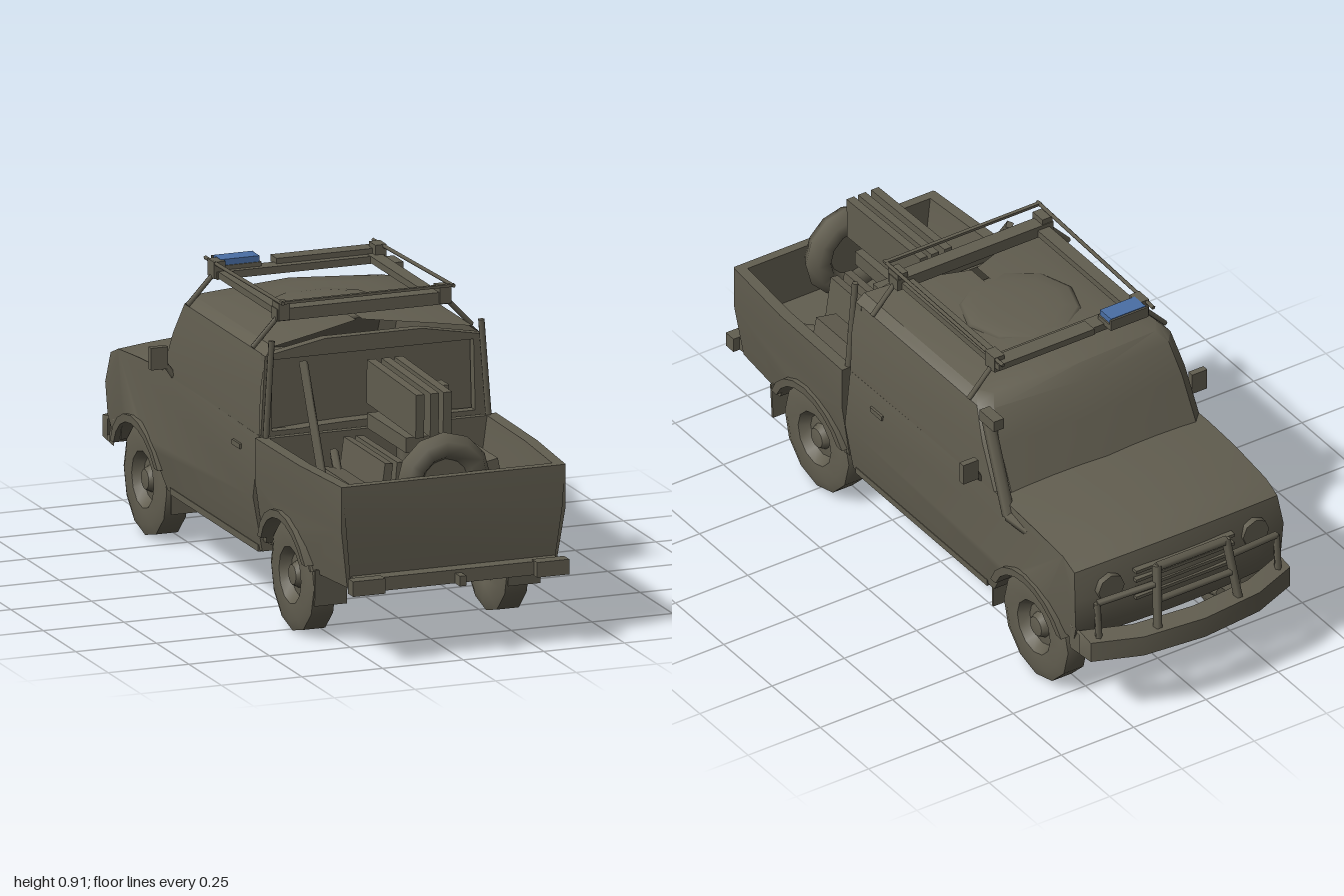
import * as THREE from 'three';
import { toCreasedNormals } from 'three/addons/utils/BufferGeometryUtils.js';

const paint = new THREE.MeshStandardMaterial({ color: 0x625e50, side: THREE.DoubleSide });
paint.name = 'drabPaint';
const blue = new THREE.MeshStandardMaterial({ color: 0x4a6fa5 });
blue.name = 'blueLamp';

export function createModel() {
  const truck = new THREE.Group();
  truck.name = 'pickupTruck';
  const add = (name, geo, mat = paint) => {
    const m = new THREE.Mesh(geo, mat);
    m.name = name;
    truck.add(m);
    return m;
  };
  const box = (name, w, h, d, x, y, z, mat) => {
    const m = add(name, new THREE.BoxGeometry(w, h, d), mat);
    m.position.set(x, y, z);
    return m;
  };
  // Straight rod between two points
  const bar = (name, a, b, r, sides = 5) => {
    const p = new THREE.Vector3(...a), q = new THREE.Vector3(...b);
    const m = add(name, new THREE.CylinderGeometry(r, r, p.distanceTo(q), sides));
    m.position.copy(p).add(q).multiplyScalar(0.5);
    m.quaternion.setFromUnitVectors(new THREE.Vector3(0, 1, 0), q.sub(p).normalize());
    return m;
  };
  // Side outline of [z, y] points, extruded across x, then bent by a rule
  const sideExtrude = (pts, x0, x1, steps, bend) => {
    const shape = new THREE.Shape(pts.map(([z, y]) => new THREE.Vector2(-z, y)));
    const g = new THREE.ExtrudeGeometry(shape, { depth: x1 - x0, steps, bevelEnabled: false });
    g.rotateY(Math.PI / 2).translate(x0, 0, 0);
    const p = g.attributes.position, v = new THREE.Vector3();
    for (let i = 0; i < p.count; i++) {
      bend(v.fromBufferAttribute(p, i));
      p.setXYZ(i, v.x, v.y, v.z);
    }
    return toCreasedNormals(g, 0.6);
  };
  // Skin over rows of equal point counts
  const loft = (rows) => {
    const n = rows[0].length, index = [];
    for (let i = 0; i < rows.length - 1; i++) for (let j = 0; j < n - 1; j++) {
      const a = i * n + j, b = a + n;
      index.push(a, a + 1, b, a + 1, b + 1, b);
    }
    const g = new THREE.BufferGeometry();
    g.setAttribute('position', new THREE.Float32BufferAttribute(rows.flat(2), 3));
    g.setIndex(index);
    return toCreasedNormals(g.toNonIndexed(), 0.6);
  };
  const arch = (zc, r, yBase) => {
    const a0 = Math.asin((yBase - 0.16) / r), pts = [];
    for (let i = 0; i <= 8; i++) {
      const a = Math.PI - a0 - (Math.PI - 2 * a0) * i / 8;
      pts.push([zc + r * Math.cos(a), 0.16 + r * Math.sin(a)]);
    }
    return pts;
  };

  // Lower cab, bonnet and front wings
  add('lowerBody', sideExtrude([
    [0.31, 0.185], [0.31, 0.35], [0.31, 0.53], [-0.48, 0.54], [-0.62, 0.532], [-0.8, 0.515], [-0.87, 0.49],
    [-0.89, 0.4], [-0.885, 0.3], [-0.86, 0.25], ...arch(-0.62, 0.178, 0.25), [-0.42, 0.185],
  ], -0.374, 0.374, 8, (v) => {
    const t = v.x / 0.374;
    const nose = Math.max(0, (-v.z - 0.7) / 0.2);
    v.x *= 1 - 0.08 * Math.max(0, (0.35 - v.y) / 0.17) - 0.05 * Math.max(0, (v.y - 0.38) / 0.15) - 0.03 * nose;
    v.z += 0.03 * t * t * nose;
    if (v.y > 0.47) v.y += 0.018 * (1 - t * t);
  }));

  // Upper cab: pillars, windscreen and crowned roof
  const ring = (y, hx, zf, zb, crown = 0) => [
    [-hx, y, zb], [-hx, y, zf + 0.05], [-hx * 0.9, y, zf + 0.01], [0, y + crown, zf - 0.015],
    [hx * 0.9, y, zf + 0.01], [hx, y, zf + 0.05], [hx, y, zb]];
  add('upperCab', loft([
    ring(0.525, 0.355, -0.49, 0.31), ring(0.67, 0.35, -0.415, 0.31), ring(0.765, 0.335, -0.365, 0.31),
    ring(0.79, 0.31, -0.33, 0.305, 0.012), ring(0.803, 0.2, -0.24, 0.28, 0.01), ring(0.814, 0.01, -0.14, 0.2)]));
  const frame = new THREE.Shape([[-0.35, 0.52], [0.35, 0.52], [0.337, 0.765], [0.15, 0.8], [-0.15, 0.8], [-0.337, 0.765]]
    .map((p) => new THREE.Vector2(...p)));
  frame.holes.push(new THREE.Path([[-0.315, 0.54], [-0.315, 0.752], [0.31, 0.752], [0.315, 0.54]]
    .map((p) => new THREE.Vector2(...p))));
  add('rearCabFrame', new THREE.ExtrudeGeometry(frame, { depth: 0.03, bevelEnabled: false })).position.z = 0.28;
  box('rearWindow', 0.64, 0.24, 0.008, 0, 0.645, 0.265);
  const dome = add('roofDome', new THREE.SphereGeometry(0.18, 10, 4, 0, Math.PI * 2, 0, Math.PI / 2));
  dome.scale.y = 0.1;
  dome.position.set(-0.01, 0.804, -0.02);

  // Open cargo bed, inner walls sloping in towards the floor
  const bedTaper = (v) => {
    if (Math.abs(v.x) < 0.35) v.x *= 1 - 0.4 * (0.53 - v.y);
    v.x *= 1 - 0.07 * Math.max(0, (v.z - 0.6) / 0.32) - 0.07 * Math.max(0, (0.38 - v.y) / 0.16);
  };
  const bedSide = [[0.325, 0.22], [0.325, 0.4], [0.325, 0.53], [0.65, 0.53], [0.925, 0.53], [0.925, 0.4], [0.91, 0.225],
    ...arch(0.515, 0.178, 0.22).reverse()];
  for (const s of [-1, 1]) {
    add('bedSide', sideExtrude(bedSide, s > 0 ? 0.338 : -0.374, s > 0 ? 0.374 : -0.338, 1, bedTaper));
    // Wheel flares, wells and mud flaps
    for (const z of [0.515, -0.62]) {
      const outer = arch(z, 0.2, 0.24), inner = arch(z, 0.176, 0.24).reverse();
      add('wheelFlare', sideExtrude([...outer, ...inner], s > 0 ? 0.33 : -0.38, s > 0 ? 0.38 : -0.33, 1, (v) => {
        v.x *= 1 - 0.25 * Math.max(0, 0.35 - v.y);
      }));
      add('wheelWell', sideExtrude(arch(z, 0.178, 0.25), s > 0 ? 0.23 : -0.24, s > 0 ? 0.24 : -0.23, 1, () => {}));
    }
    add('rearWheelHousing', sideExtrude([...arch(0.515, 0.19, 0.22), ...arch(0.515, 0.178, 0.22).reverse()],
      s > 0 ? 0.235 : -0.35, s > 0 ? 0.35 : -0.235, 1, () => {}));
    box('mudFlap', 0.1, 0.11, 0.008, s * 0.3, 0.18, 0.725).rotation.x = 0.08;
    box('frontMudFlap', 0.08, 0.09, 0.008, s * 0.3, 0.16, -0.405);
    // Mirrors, sills, door handles
    box('mirror', 0.052, 0.066, 0.02, s * 0.396, s > 0 ? 0.588 : 0.598, -0.365);
    bar('mirrorArm', [s * 0.35, 0.54, -0.36], [s * 0.385, 0.59, -0.365], 0.009);
    box('sill', 0.03, 0.02, 0.68, s * 0.335, 0.19, -0.05);
    box('doorHandle', 0.01, 0.015, 0.06, s * 0.363, 0.47, 0.16);
    // Chassis rails and suspension
    box('chassisRail', 0.05, 0.05, 1.52, s * 0.17, 0.225, -0.02);
    for (const z of [0.515, -0.62]) {
      bar('leafSpring', [s * 0.17, 0.15, z], [s * 0.17, 0.205, z + 0.2], 0.016);
      bar('leafSpring', [s * 0.17, 0.15, z], [s * 0.17, 0.205, z - 0.2], 0.016);
      bar('damper', [s * 0.2, 0.14, z + 0.03], [s * 0.17, 0.3, z + 0.06], 0.014);
    }
  }
  box('bedFloor', 0.64, 0.025, 0.59, 0, 0.35, 0.62);
  box('bedFrontWall', 0.7, 0.28, 0.02, 0, 0.39, 0.335);
  box('bedMount', 0.66, 0.06, 0.04, 0, 0.24, 0.318);
  add('tailgate', loft([[[-0.315, 0.225, 0.915], [0.315, 0.225, 0.915]],
    [[-0.335, 0.4, 0.93], [0.335, 0.4, 0.93]], [[-0.345, 0.53, 0.928], [0.345, 0.53, 0.928]],
    [[-0.345, 0.53, 0.9], [0.345, 0.53, 0.9]], [[-0.315, 0.23, 0.895], [0.315, 0.23, 0.895]]]));

  // Wheels: lathed tyre with dished hub
  const tyre = [[0, -0.03], [0.06, -0.03], [0.085, -0.042], [0.135, -0.045], [0.166, -0.034], [0.166, 0.034],
    [0.135, 0.045], [0.085, 0.042], [0.065, 0.012], [0.04, 0.015], [0.03, 0.035], [0, 0.04]];
  const wheelGeo = toCreasedNormals(new THREE.LatheGeometry(tyre.map((p) => new THREE.Vector2(...p)), 12), 0.7);
  for (const s of [-1, 1]) for (const z of [0.515, -0.62]) {
    const w = add('wheel', wheelGeo);
    w.rotation.z = -s * Math.PI / 2;
    w.position.set(s * 0.3, 0.166, z);
  }

  // Running gear
  for (const z of [0.515, -0.62]) {
    bar('axle', [-0.26, 0.155, z], [0.26, 0.155, z], 0.028, 6);
    const diff = add('differential', new THREE.SphereGeometry(0.05, 7, 5));
    diff.position.set(z > 0 ? 0 : 0.06, 0.16, z);
  }
  bar('driveShaft', [0, 0.17, 0.47], [0.03, 0.2, -0.55], 0.02, 6);
  bar('exhaust', [-0.1, 0.22, -0.5], [-0.1, 0.22, 0.85], 0.018, 6);
  box('gearbox', 0.16, 0.09, 0.3, 0, 0.22, -0.3);
  box('fuelTank', 0.22, 0.07, 0.16, 0, 0.25, 0.76);
  bar('steeringRod', [-0.24, 0.14, -0.7], [0.24, 0.14, -0.7], 0.012);

  // Curved front bumper
  const bumperRow = (y, dz) => [-0.35, -0.345, -0.2, 0, 0.2, 0.345, 0.35].map((x, i) =>
    [x, y, [-0.87, -0.92, -0.978, -0.998, -0.978, -0.92, -0.87][i] + dz]);
  add('frontBumper', loft([bumperRow(0.215, 0.05), bumperRow(0.22, 0), bumperRow(0.285, 0),
    bumperRow(0.295, 0.06), bumperRow(0.215, 0.05)]));
  // Bull bar, grille and headlamps
  for (const s of [-1, 1]) {
    bar('bullBarPost', [s * 0.14, 0.28, -0.96], [s * 0.12, 0.475, -0.925], 0.014);
    bar('bullBarWing', [s * 0.12, 0.42, -0.935], [s * 0.31, 0.4, -0.9], 0.011);
    bar('bullBarWingPost', [s * 0.31, 0.4, -0.9], [s * 0.31, 0.27, -0.91], 0.011);
    const lamp = add('headlamp', new THREE.CylinderGeometry(0.045, 0.045, 0.02, 8));
    lamp.rotation.x = Math.PI / 2;
    lamp.position.set(s * 0.25, 0.42, -0.876);
  }
  bar('bullBarTop', [-0.12, 0.47, -0.925], [0.12, 0.47, -0.925], 0.014);
  bar('bullBarMiddle', [-0.13, 0.37, -0.945], [0.13, 0.37, -0.945], 0.011);
  for (const y of [0.36, 0.39, 0.42, 0.45]) box('grilleSlat', 0.34, 0.01, 0.02, 0, y, -0.885);

  // Rear bumper and tow hook
  box('rearBumper', 0.63, 0.04, 0.045, 0, 0.24, 0.94);
  for (const s of [-1, 1]) box('rearBumperEnd', 0.1, 0.045, 0.04, s * 0.285, 0.24, 0.965);
  box('towHook', 0.02, 0.03, 0.07, 0, 0.235, 0.965);

  // Snorkel on the left pillar
  bar('snorkelPipe', [0.355, 0.5, -0.51], [0.352, 0.78, -0.395], 0.019, 6);
  box('snorkelHead', 0.035, 0.035, 0.075, 0.354, 0.785, -0.42);
  bar('snorkelIntake', [0.34, 0.49, -0.6], [0.355, 0.5, -0.51], 0.018, 6);

  // Roof rack
  for (const s of [-1, 1]) {
    box('rackSideRail', 0.04, 0.02, 0.5, s * 0.235, 0.858, -0.03);
    bar('rackUpperRail', [s * 0.265, 0.905, 0.27], [s * 0.26, 0.89, -0.34], 0.006);
    for (const z of [0.22, -0.28]) {
      bar('rackLeg', [s * 0.34, 0.77, z], [s * 0.265, 0.85, z], 0.008);
      box('rackCorner', 0.035, 0.05, 0.05, s * 0.25, 0.872, z);
    }
    bar('rollBarPost', [s * 0.345, 0.53, 0.335], [s * 0.325, 0.815, 0.33], 0.01);
  }
  box('rackRearBar', 0.54, 0.036, 0.045, 0, 0.862, 0.215);
  box('rackFrontBar', 0.52, 0.022, 0.05, 0, 0.856, -0.275);
  box('roofLampBar', 0.33, 0.02, 0.05, 0.1, 0.873, -0.3);
  box('rackTopBar', 0.54, 0.008, 0.012, 0, 0.905, 0.26);
  // Blue lamp on its base, with a guard at the front
  box('lampBase', 0.13, 0.018, 0.064, -0.18, 0.871, -0.3);
  box('lampGuard', 0.13, 0.034, 0.006, -0.18, 0.879, -0.332);
  box('blueRoofLamp', 0.12, 0.018, 0.057, -0.18, 0.889, -0.3, blue);

  // Equipment in the bed
  box('mountBase', 0.22, 0.06, 0.3, 0, 0.39, 0.58);
  bar('mountPost', [0, 0.37, 0.58], [0, 0.64, 0.58], 0.035, 6);
  box('mountCradle', 0.13, 0.045, 0.3, 0, 0.575, 0.57);
  for (const x of [-0.045, 0, 0.04]) box('mountPlate', 0.026, 0.13, 0.38, x, 0.68, 0.59).rotation.x = 0.03;
  box('mountCrossbar', 0.2, 0.04, 0.06, 0.07, 0.65, 0.44);
  for (const x of [-0.13, -0.09, 0.09, 0.14]) box('cargoSlat', 0.025, 0.14, 0.32, x, 0.46, 0.57).rotation.z = x;
  bar('rearStay', [-0.285, 0.42, 0.65], [-0.25, 0.76, 0.39], 0.014, 4);
  for (const s of [-1, 1]) {
    box('sideCrate', 0.07, 0.12, 0.22, s * 0.23, 0.42, s > 0 ? 0.53 : 0.64).rotation.z = s * 0.2;
    bar('cargoBrace', [s * 0.27, 0.38, 0.78], [s * 0.18, 0.5, 0.45], 0.014);
  }
  const spare = add('spareTyre', new THREE.TorusGeometry(0.105, 0.042, 6, 12));
  spare.position.set(-0.005, 0.497, 0.86);
  const hub = add('spareHub', new THREE.CylinderGeometry(0.075, 0.075, 0.03, 8));
  hub.rotation.x = Math.PI / 2;
  hub.position.copy(spare.position);

  return truck;
}
